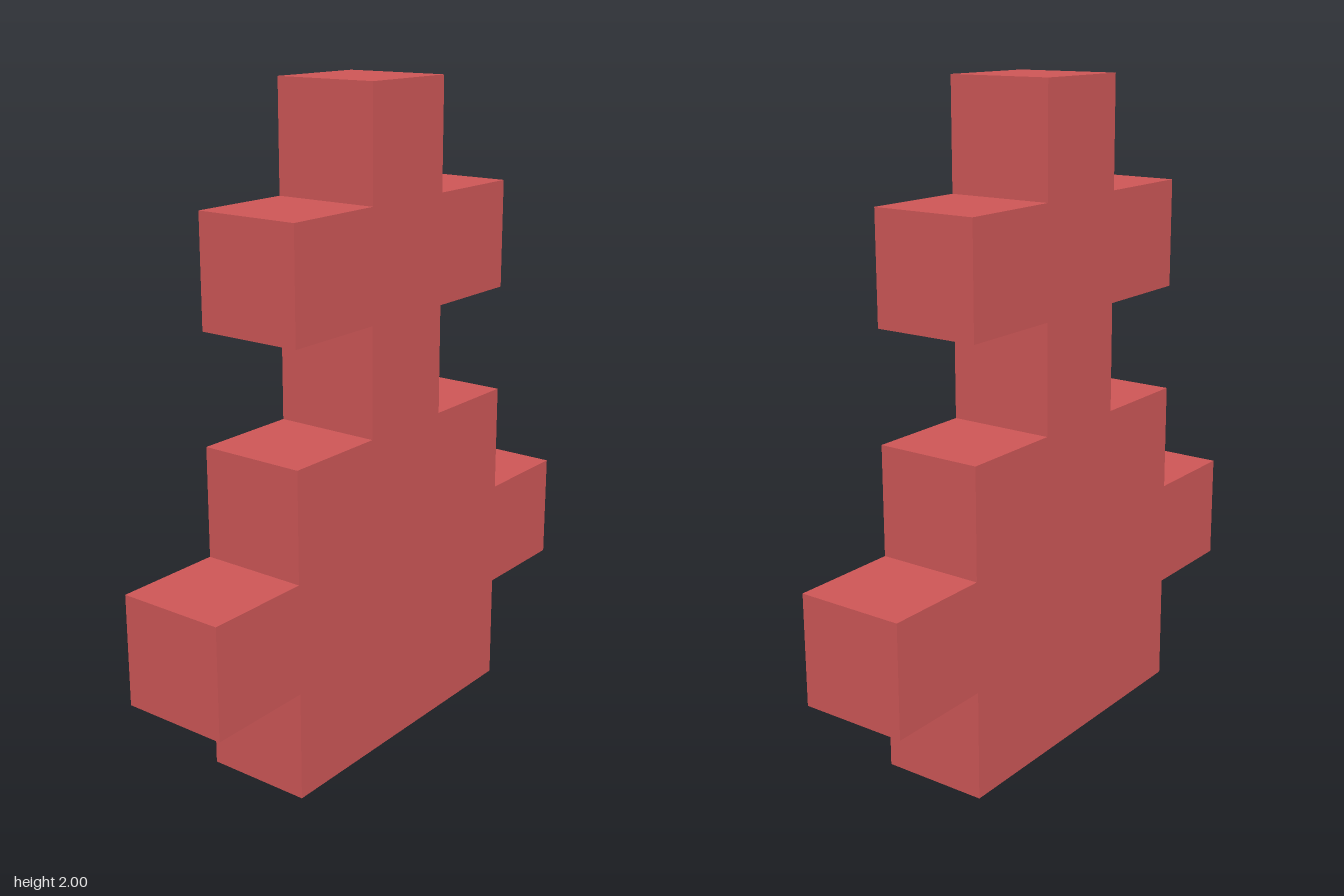
import * as THREE from 'three';

export function createModel() {
  const group = new THREE.Group();
  group.name = 'steppedTower';
  const red = new THREE.MeshStandardMaterial({ color: 0xcc5656 });
  red.name = 'red';

  // The silhouette lies on a grid of unit cells, six cells high
  const unit = 1 / 3;

  // Half width of each row in cells, from the bottom up
  const rows = [1.5, 2.5, 1.5, 0.5, 1.5, 0.5];
  const side = rows.flatMap((w, i) => [[w, i], [w, i + 1]]);

  // Right-hand steps upwards, then the mirrored steps back down
  const outline = [...side, ...side.map(([x, y]) => [-x, y]).reverse()]
    .map(([x, y]) => new THREE.Vector2(x * unit, y * unit));

  // One-cell-thick solid, centred on z = 0
  const geometry = new THREE.ExtrudeGeometry(new THREE.Shape(outline), {
    depth: unit,
    bevelEnabled: false,
  });
  geometry.translate(0, 0, -unit / 2);

  const body = new THREE.Mesh(geometry, red);
  body.name = 'steppedBody';
  group.add(body);
  return group;
}
